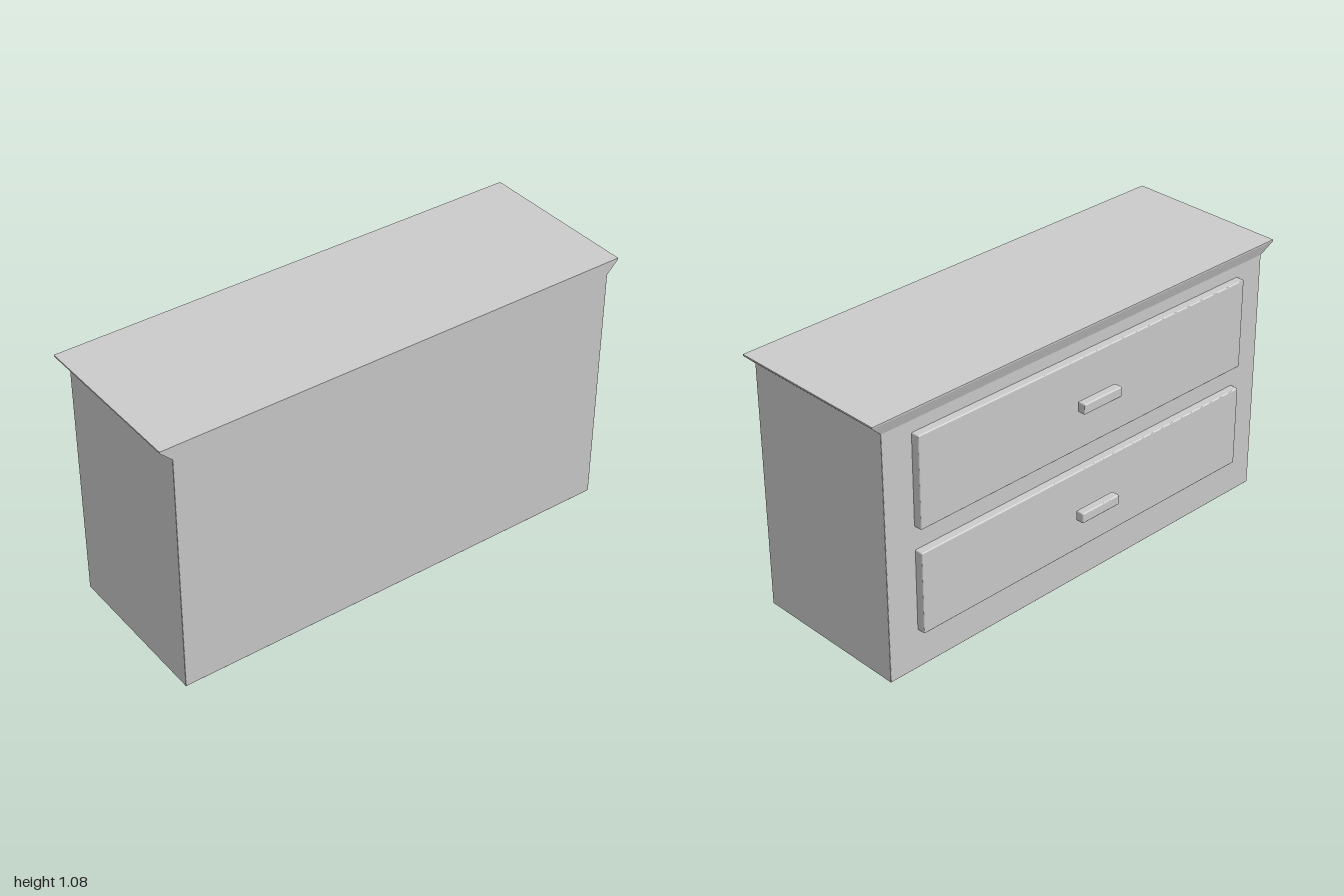
import * as THREE from 'three';
import { RoundedBoxGeometry } from 'three/addons/geometries/RoundedBoxGeometry.js';

const BODY = { halfWidth: 0.952, height: 1.022, front: 0.381, back: -0.287 };

export function createModel() {
  const group = new THREE.Group();
  const material = new THREE.MeshStandardMaterial({ color: 0xcccccc, flatShading: true });

  const add = (name, geometry, x = 0, y = 0, z = 0) => {
    const mesh = new THREE.Mesh(geometry, material);
    mesh.name = name;
    mesh.position.set(x, y, z);
    group.add(mesh);
  };

  // Block given by its limits, with softened edges
  const block = (name, x0, x1, y0, y1, z0, z1, radius) =>
    add(name, new RoundedBoxGeometry(x1 - x0, y1 - y0, z1 - z0, 2, radius),
      (x0 + x1) / 2, (y0 + y1) / 2, (z0 + z1) / 2);

  // Cabinet body
  block('cabinetBody', -BODY.halfWidth, BODY.halfWidth, 0, BODY.height + 0.01, BODY.back, BODY.front, 0.003);

  // Flared top: widens to both sides and the drawer side, flush on the plain side
  const rings = [
    { y: BODY.height, halfWidth: BODY.halfWidth, back: BODY.back },
    { y: 1.069, halfWidth: 1, back: -0.303 },
    { y: 1.075, halfWidth: 1, back: -0.303 },
  ];
  const top = new THREE.BoxGeometry(2, 2, 2, 1, 2, 1);
  const p = top.attributes.position;
  for (let i = 0; i < p.count; i++) {
    const ring = rings[Math.round(p.getY(i)) + 1];
    p.setXYZ(i, p.getX(i) * ring.halfWidth, ring.y, p.getZ(i) > 0 ? BODY.front : ring.back);
  }
  const flatTop = top.toNonIndexed();
  flatTop.computeVertexNormals();
  add('flaredTop', flatTop);

  // Two drawers, each with a bar handle standing clear of its face
  const drawers = [
    { name: 'lower', y0: 0.163, y1: 0.503, handle: 0.34 },
    { name: 'upper', y0: 0.599, y1: 0.974, handle: 0.802 },
  ];
  for (const { name, y0, y1, handle } of drawers) {
    block(name + 'DrawerFront', -0.82, 0.82, y0, y1, -0.321, -0.27, 0.005);
    block(name + 'DrawerHandle', -0.098, 0.093, handle - 0.021, handle + 0.021, -0.381, -0.345, 0.005);
  }

  return group;
}
